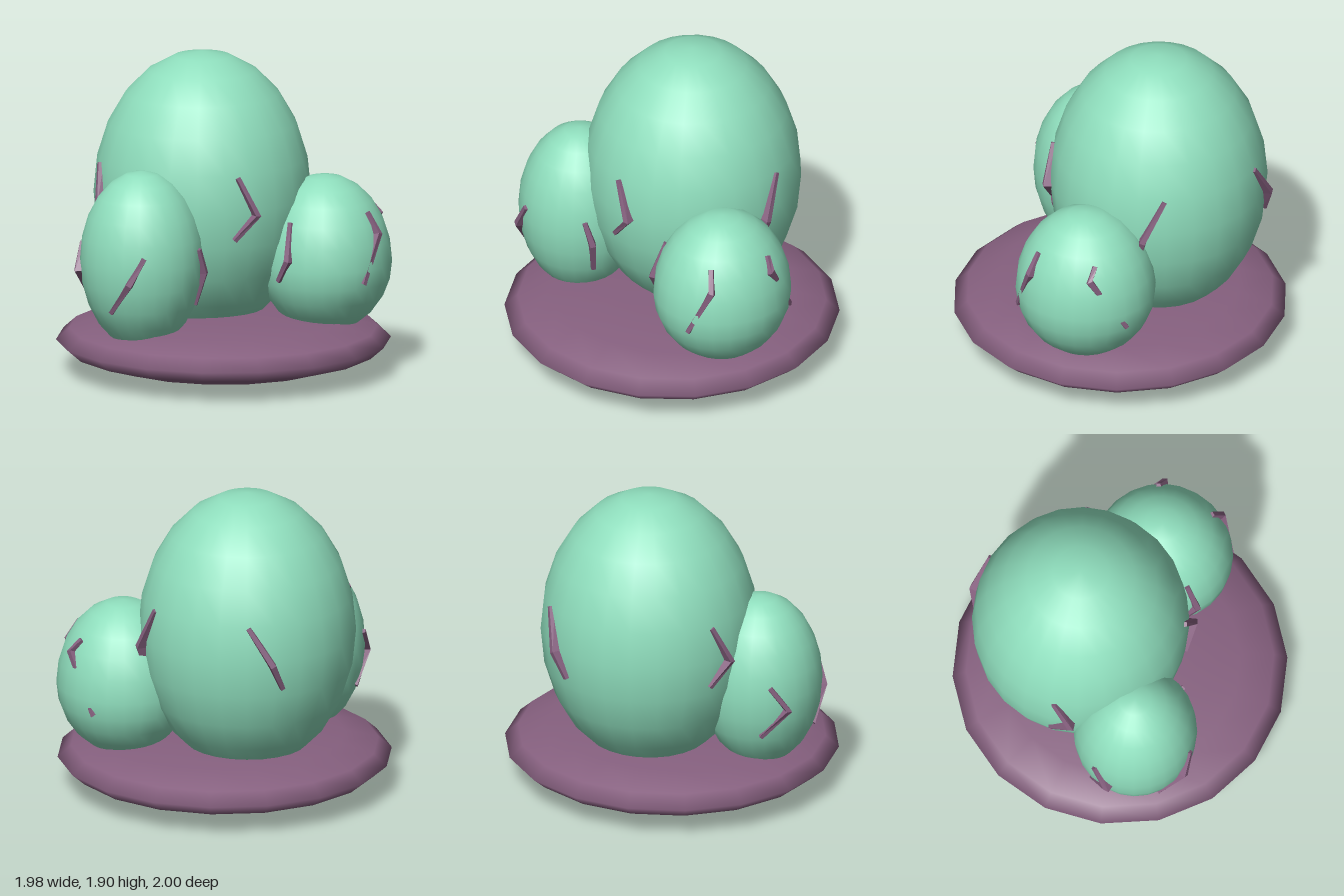
import * as THREE from 'three';

const shell = new THREE.MeshStandardMaterial({ color: 0x8fdebd });
shell.name = 'mint green';
const stone = new THREE.MeshStandardMaterial({ color: 0x86607f });
stone.name = 'dusty purple';

// Eggs: centre, horizontal radii, height above and below the widest level.
// Each mark is three [azimuth from +z towards +x, height] stations, top to bottom.
const H = Math.PI / 2;
const EGGS = [
  {
    name: 'bigEgg', c: [-0.08, 1.05, -0.22], rx: 0.65, rz: 0.65, up: 0.86, down: 0.86, bulge: 0.045,
    marks: [
      [[0.127, 1.26], [0.29, 1.03], [0.09, 0.88]],
      [[H + 0.25, 1.27], [H + 0.05, 1.01], [H, 0.86]],
      [[Math.PI - 0.25, 1.27], [Math.PI - 0.03, 1.04], [Math.PI + 0.08, 0.88]],
      [[-H + 0.03, 1.26], [-H + 0.2, 1.03], [-H, 0.88]],
    ],
  },
  {
    name: 'leftSideEgg', c: [-0.555, 0.76, 0.26], rx: 0.37, rz: 0.37, up: 0.54, down: 0.54, bulge: 0.035,
    marks: [
      [[-0.18, 0.84], [-0.42, 0.68], [-0.82, 0.49]],
      [[0.98, 0.85], [1.1, 0.7], [1.15, 0.5]],
      [[-H - 0.45, 0.85], [-H - 0.16, 0.7], [-H - 0.6, 0.52]],
    ],
  },
  {
    name: 'rightSideEgg', c: [0.6, 0.67, 0.09], rx: 0.4, rz: 0.42, up: 0.52, down: 0.43, bulge: 0.03,
    marks: [
      [[-0.88, 0.95], [-0.8, 0.73], [-1.0, 0.6]],
      [[0.72, 1.0], [0.76, 0.87], [0.4, 0.59]],
      [[H + 0.36, 1.0], [H + 0.25, 0.92], [H + 0.82, 0.58]],
    ],
  },
];

// Smooth ellipsoid whose lower half may be shorter than the upper
function eggGeometry({ rx, rz, up, down }) {
  const g = new THREE.SphereGeometry(1, 24, 12);
  const p = g.attributes.position, n = g.attributes.normal;
  const v = new THREE.Vector3(), k = new THREE.Vector3();
  for (let i = 0; i < p.count; i++) {
    v.fromBufferAttribute(p, i);
    k.set(rx, v.y > 0 ? up : down, rz);
    p.setXYZ(i, v.x * k.x, v.y * k.y, v.z * k.z);
    v.divide(k).normalize();
    n.setXYZ(i, v.x, v.y, v.z);
  }
  return g;
}

// Bent bar lying on the egg, in egg-local coordinates
function markGeometry(egg, mark) {
  const pts = [], normals = [];
  for (const [a, y] of mark) {
    const dy = y - egg.c[1], ry = dy > 0 ? egg.up : egg.down;
    const r = Math.sqrt(1 - (dy / ry) ** 2);
    const p = new THREE.Vector3(egg.rx * r * Math.sin(a), dy, egg.rz * r * Math.cos(a));
    pts.push(p);
    normals.push(new THREE.Vector3(p.x / egg.rx ** 2, p.y / ry ** 2, p.z / egg.rz ** 2).normalize());
  }
  const verts = [];
  pts.forEach((p, i) => {
    const n = normals[i];
    const t = pts[Math.min(i + 1, 2)].clone().sub(pts[Math.max(i - 1, 0)]).normalize();
    const s = t.cross(n).normalize();
    const w = i === 1 ? 0.024 : 0.018, out = i === 1 ? egg.bulge : 0.012;
    for (const [u, h] of [[w, -0.02], [w * 0.7, out], [-w * 0.7, out], [-w, -0.02]]) {
      const q = p.clone().addScaledVector(s, u).addScaledVector(n, h);
      verts.push(q.x, q.y, q.z);
    }
  });
  const index = [0, 1, 2, 0, 2, 3, 8, 10, 9, 8, 11, 10];
  for (let i = 0; i < 2; i++) {
    for (let j = 0; j < 4; j++) {
      const a = i * 4 + j, b = i * 4 + (j + 1) % 4;
      index.push(b, a, a + 4, b, a + 4, b + 4);
    }
  }
  const g = new THREE.BufferGeometry();
  g.setAttribute('position', new THREE.Float32BufferAttribute(verts, 3));
  g.setIndex(index);
  const flat = g.toNonIndexed();
  flat.computeVertexNormals();
  return flat;
}

// Lens-shaped slab with a slightly uneven top
function baseGeometry() {
  const profile = [[0, 0.03], [0.35, 0.005], [0.7, 0.065], [0.92, 0.13], [1, 0.2],
    [0.92, 0.272], [0.72, 0.33], [0.35, 0.355], [0, 0.36]];
  const g = new THREE.LatheGeometry(profile.map(([x, y]) => new THREE.Vector2(x, y)), 18);
  const p = g.attributes.position;
  for (let i = 0; i < p.count; i++) {
    const x = p.getX(i), y = p.getY(i), z = p.getZ(i);
    if (y > 0.3) p.setY(i, y + 0.025 * (z * z - x * x));
  }
  return g;
}

export function createModel() {
  const model = new THREE.Group();
  model.name = 'eggCluster';

  const base = new THREE.Mesh(baseGeometry(), stone);
  base.name = 'base';
  model.add(base);

  for (const egg of EGGS) {
    const group = new THREE.Group();
    group.name = egg.name;
    group.position.set(...egg.c);
    const body = new THREE.Mesh(eggGeometry(egg), shell);
    body.name = 'shell';
    group.add(body);
    egg.marks.forEach((mark, i) => {
      const m = new THREE.Mesh(markGeometry(egg, mark), stone);
      m.name = 'crackMark' + (i + 1);
      group.add(m);
    });
    model.add(group);
  }
  return model;
}
